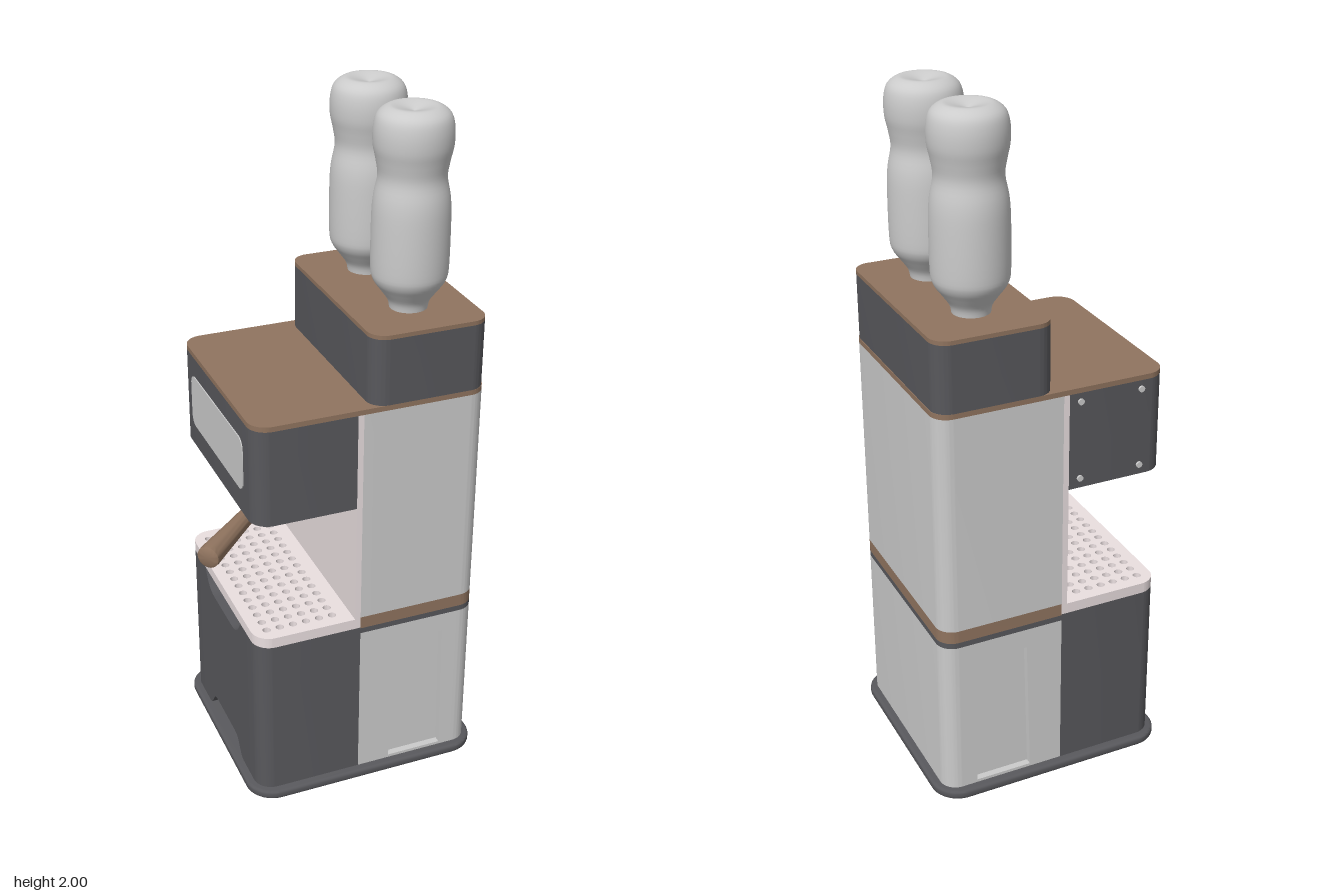
import * as THREE from 'three';
import { toCreasedNormals } from 'three/addons/utils/BufferGeometryUtils.js';

const material = (color) => new THREE.MeshStandardMaterial({ color });
const GREY = material(0xcccccc);
const DARK = material(0x58585c);
const BROWN = material(0x90745f);
const PALE = material(0xeadfe0);
const HALF = 0.306; // half depth of the body

function add(parent, name, geometry, mat) {
  const mesh = new THREE.Mesh(geometry, mat);
  mesh.name = name;
  parent.add(mesh);
  return mesh;
}

// Rounded plan outline; optional notches in the two sides (x range) or in the -x face (z range)
function plan(x0, x1, h, r0, r1, { side, face, depth = 0.03 } = {}) {
  const s = new THREE.Shape();
  s.moveTo(x0 + r0, -h);
  if (side) {
    s.lineTo(side[0], -h); s.lineTo(side[0], depth - h);
    s.lineTo(side[1], depth - h); s.lineTo(side[1], -h);
  }
  s.lineTo(x1 - r1, -h);
  if (r1) s.absarc(x1 - r1, r1 - h, r1, -Math.PI / 2, 0);
  s.lineTo(x1, h - r1);
  if (r1) s.absarc(x1 - r1, h - r1, r1, 0, Math.PI / 2);
  if (side) {
    s.lineTo(side[1], h); s.lineTo(side[1], h - depth);
    s.lineTo(side[0], h - depth); s.lineTo(side[0], h);
  }
  s.lineTo(x0 + r0, h);
  if (r0) s.absarc(x0 + r0, h - r0, r0, Math.PI / 2, Math.PI);
  if (face) {
    s.lineTo(x0, face); s.lineTo(x0 + depth, face);
    s.lineTo(x0 + depth, -face); s.lineTo(x0, -face);
  }
  s.lineTo(x0, r0 - h);
  if (r0) s.absarc(x0 + r0, r0 - h, r0, Math.PI, Math.PI * 1.5);
  return s;
}

function extrude(shape, depth, bevel = 0) {
  const g = new THREE.ExtrudeGeometry(shape, {
    depth: depth - 2 * bevel, curveSegments: 10, bevelEnabled: bevel > 0,
    bevelSize: bevel, bevelThickness: bevel, bevelOffset: -bevel, bevelSegments: 3,
  });
  return toCreasedNormals(g.translate(0, 0, bevel), 0.6);
}

// Upright slab from y0 to y1
function slab(parent, name, shape, y0, y1, mat, bevel = 0) {
  const mesh = add(parent, name, extrude(shape, y1 - y0, bevel).rotateX(-Math.PI / 2), mat);
  mesh.position.y = y0;
  return mesh;
}

function roundedRect(w, h, r) {
  return plan(-w / 2, w / 2, h / 2, r, r);
}

// Side panel with a tapered recess for the access door
function doorSurround() {
  const s = new THREE.Shape();
  s.moveTo(0.09, 0.027); s.lineTo(0.34, 0.027); s.lineTo(0.34, 0.515); s.lineTo(0.09, 0.515);
  const hole = new THREE.Path();
  hole.moveTo(0.13, 0.036); hole.lineTo(0.14, 0.455);
  hole.lineTo(0.292, 0.455); hole.lineTo(0.3, 0.036);
  s.holes.push(hole);
  return extrude(s, 0.02);
}

// Drawer front with a dished grip at the top and a low arch at the bottom
function drawerFront() {
  const s = new THREE.Shape();
  s.moveTo(-0.2, 0.027);
  s.lineTo(-0.16, 0.027);
  s.bezierCurveTo(-0.12, 0.03, -0.13, 0.085, -0.08, 0.085);
  s.lineTo(0.08, 0.085);
  s.bezierCurveTo(0.13, 0.085, 0.12, 0.03, 0.16, 0.027);
  s.lineTo(0.2, 0.027);
  s.lineTo(0.2, 0.535);
  s.lineTo(0.16, 0.535);
  s.bezierCurveTo(0.13, 0.475, 0.1, 0.475, 0.07, 0.475);
  s.lineTo(-0.07, 0.475);
  s.bezierCurveTo(-0.1, 0.475, -0.13, 0.475, -0.16, 0.535);
  s.lineTo(-0.2, 0.535);
  return extrude(s, 0.03);
}

export function createModel() {
  const model = new THREE.Group();
  model.name = 'coffeeMachine';

  // Foot plate
  slab(model, 'footPlate', plan(-0.308, 0.421, 0.332, 0.085, 0.085), 0, 0.027, DARK, 0.008);

  // Lower cabinet: dark drawer half and grey half with a door on each side
  slab(model, 'drawerCabinet', plan(-0.285, 0.03, HALF, 0.055, 0, { face: 0.2 }), 0.027, 0.535, DARK);
  const front = add(model, 'drawerFront', drawerFront().rotateY(-Math.PI / 2), DARK);
  front.position.x = -0.255;
  slab(model, 'lowerCabinet', plan(0.03, 0.398, HALF, 0, 0.05, { side: [0.09, 0.34], depth: 0.02 }), 0.027, 0.515, GREY);
  add(model, 'doorSurroundFront', doorSurround().translate(0, 0, HALF - 0.02), GREY);
  add(model, 'doorSurroundBack', doorSurround().translate(0, 0, -HALF), GREY);
  slab(model, 'cabinetSeam', plan(0.03, 0.398, HALF, 0, 0.05), 0.515, 0.532, DARK);
  slab(model, 'lowerTrim', plan(0.03, 0.398, HALF, 0, 0.05), 0.532, 0.57, BROWN);

  // Drip tray with a perforated grille
  slab(model, 'dripTray', plan(-0.285, 0.03, HALF, 0.055, 0), 0.535, 0.547, PALE);
  const grille = plan(-0.285, 0.03, HALF, 0.055, 0);
  for (let i = 0; i < 6; i++) {
    for (let j = 0; j < 14; j++) {
      const hole = new THREE.Path();
      hole.absarc(-0.24 + i * 0.04, -0.26 + j * 0.04, 0.012, 0, Math.PI * 2, true);
      grille.holes.push(hole);
    }
  }
  slab(model, 'dripGrille', grille, 0.547, 0.567, PALE);

  // Column, splash panel and brewing head
  slab(model, 'column', plan(0.03, 0.398, HALF, 0, 0.05), 0.57, 1.225, GREY);
  slab(model, 'splashPanel', plan(0.013, 0.03, HALF, 0, 0), 0.567, 1.225, PALE);
  slab(model, 'brewHead', plan(-0.285, 0.013, HALF, 0.055, 0), 0.937, 1.225, DARK);
  slab(model, 'upperTrim', plan(-0.285, 0.398, HALF, 0.055, 0.05), 1.225, 1.24, BROWN);
  const display = add(model, 'displayPanel', extrude(roundedRect(0.44, 0.16, 0.03), 0.006).rotateY(-Math.PI / 2), GREY);
  display.position.set(-0.282, 1.087, 0);

  // Four screws on the back of the head
  for (const x of [-0.205, -0.02]) {
    for (const y of [0.967, 1.2]) {
      const screw = add(model, 'screw', new THREE.CylinderGeometry(0.009, 0.009, 0.012, 16).rotateX(Math.PI / 2), GREY);
      screw.position.set(x, y, -HALF);
    }
  }

  // Top housing
  slab(model, 'topHousing', plan(0.053, 0.396, HALF, 0.05, 0.05), 1.24, 1.433, DARK);
  slab(model, 'topPlate', plan(0.053, 0.396, HALF, 0.05, 0.05), 1.433, 1.445, BROWN);

  // Brew group and filter holder: stacked rings, then a tapered handle pointing out at 45 degrees
  const group = new THREE.Group();
  group.name = 'brewGroup';
  group.position.set(-0.135, 0, 0);
  model.add(group);
  for (const [r, y0, y1] of [[0.085, 0.9, 0.94], [0.074, 0.88, 0.9], [0.052, 0.832, 0.88]]) {
    const ring = add(group, 'groupRing', new THREE.CylinderGeometry(r, r, y1 - y0, 40), GREY);
    ring.position.y = (y0 + y1) / 2;
  }
  const profile = [[0, 0.04], [0.021, 0.04], [0.026, 0.2], [0.033, 0.365], [0.032, 0.378], [0.024, 0.383], [0, 0.383]];
  const handle = add(group, 'handle', toCreasedNormals(
    new THREE.LatheGeometry(profile.map(([x, y]) => new THREE.Vector2(x, y)), 28).rotateX(Math.PI / 2), 0.6), BROWN);
  handle.position.y = 0.853;
  handle.rotation.y = -0.8;

  // Two upright bottles with a soft waist and a dimpled crown
  const curve = new THREE.SplineCurve([
    [0.052, 1.44], [0.058, 1.468], [0.08, 1.5], [0.1, 1.53], [0.106, 1.57], [0.106, 1.7], [0.102, 1.76],
    [0.092, 1.815], [0.098, 1.86], [0.106, 1.9], [0.106, 1.945], [0.096, 1.98], [0.07, 1.999], [0.045, 1.998], [0, 1.985],
  ].map(([x, y]) => new THREE.Vector2(x, y)));
  const points = curve.getPoints(56);
  points.forEach((p) => { p.x = Math.max(p.x, 0); });
  for (const z of [-0.145, 0.145]) {
    const bottle = add(model, 'bottle', new THREE.LatheGeometry(points, 48), GREY);
    bottle.position.set(0.225, 0, z);
  }
  return model;
}
